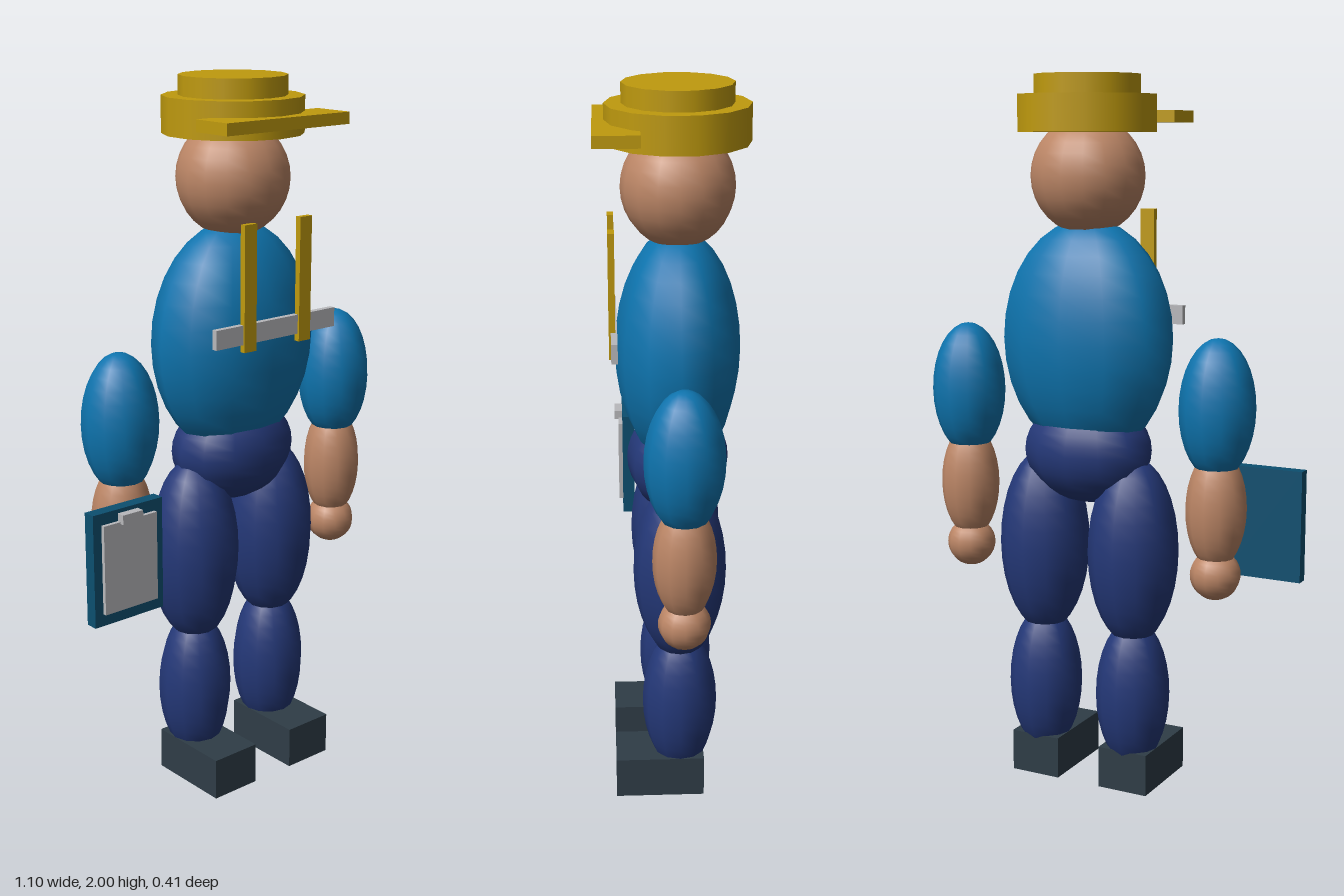
import * as THREE from 'three';

const mat = (name, color) => {
  const m = new THREE.MeshStandardMaterial({ color });
  m.name = name;
  return m;
};

export function createModel() {
  const skin = mat('skin', 0xbc8666);
  const shirt = mat('shirt blue', 0x0e74ae);
  const trousers = mat('trouser navy', 0x243878);
  const yellow = mat('safety yellow', 0xbf9a0e);
  const grey = mat('light grey', 0xb9b9bc);
  const boots = mat('boot slate', 0x2f3d47);
  const boardBlue = mat('board blue', 0x0c4f70);

  const model = new THREE.Group();
  model.name = 'worker';
  const CX = 0.045, CZ = -0.016; // body axis

  const add = (parent, name, geometry, material, x, y, z) => {
    const mesh = new THREE.Mesh(geometry, material);
    mesh.name = name;
    mesh.position.set(x, y, z);
    parent.add(mesh);
    return mesh;
  };
  // Ellipsoid with a twelve-sided plan
  const blob = (parent, name, material, x, y, rx, ry, rz, sides = 12) =>
    add(parent, name, new THREE.SphereGeometry(1, sides, 16).scale(rx, ry, rz), material, x, y, CZ);
  // Box from its lower and upper corners
  const box = (parent, name, material, [x0, y0, z0], [x1, y1, z1]) =>
    add(parent, name, new THREE.BoxGeometry(x1 - x0, y1 - y0, z1 - z0), material,
      (x0 + x1) / 2, (y0 + y1) / 2, (z0 + z1) / 2);

  // Trunk and head
  blob(model, 'torso', shirt, CX, 1.285, 0.255, 0.33, 0.17);
  blob(model, 'pelvis', trousers, CX, 0.97, 0.19, 0.148, 0.14);
  blob(model, 'head', skin, CX, 1.73, 0.159, 0.16, 0.152, 16);

  // Limbs, mirrored about the body axis
  for (const [side, s] of [['left', 1], ['right', -1]]) {
    const arm = new THREE.Group();
    arm.name = side + 'Arm';
    const ax = CX + s * 0.394;
    blob(arm, 'upperArm', shirt, ax, 1.115, 0.105, 0.193, 0.105);
    blob(arm, 'forearm', skin, ax, 0.84, 0.084, 0.168, 0.084);
    blob(arm, 'hand', skin, ax, 0.657, 0.07, 0.07, 0.07);

    const leg = new THREE.Group();
    leg.name = side + 'Leg';
    const lx = CX + s * 0.142;
    blob(leg, 'thigh', trousers, lx, 0.69, 0.128, 0.27, 0.128);
    blob(leg, 'shin', trousers, lx, 0.275, 0.105, 0.22, 0.105);
    box(leg, 'boot', boots, [lx - 0.075, 0, -0.083], [lx + 0.075, 0.12, 0.167]);
    model.add(arm, leg);

    // Vest strap on this side
    const sx = CX + s * 0.098;
    box(model, side + 'Strap', yellow, [sx - 0.021, 1.296, 0.153], [sx + 0.021, 1.636, 0.17]);
  }
  box(model, 'chestBand', grey, [-0.167, 1.317, 0.148], [0.26, 1.37, 0.165]);

  // Hard hat
  const hat = new THREE.Group();
  hat.name = 'hardHat';
  add(hat, 'hatBand', new THREE.CylinderGeometry(0.192, 0.192, 0.1, 14), yellow, CX, 1.897, CZ);
  add(hat, 'crown', new THREE.CylinderGeometry(0.147, 0.147, 0.053, 14), yellow, CX, 1.9735, CZ);
  box(hat, 'visor', yellow, [-0.167, 1.873, 0.085], [0.26, 1.905, 0.206]);
  model.add(hat);

  // Clipboard held in front of the right hand
  const clipboard = new THREE.Group();
  clipboard.name = 'clipboard';
  box(clipboard, 'board', boardBlue, [-0.552, 0.63, 0.097], [-0.328, 0.942, 0.132]);
  box(clipboard, 'paper', grey, [-0.526, 0.664, 0.132], [-0.354, 0.91, 0.143]);
  box(clipboard, 'clip', grey, [-0.473, 0.905, 0.132], [-0.408, 0.931, 0.155]);
  model.add(clipboard);

  return model;
}
